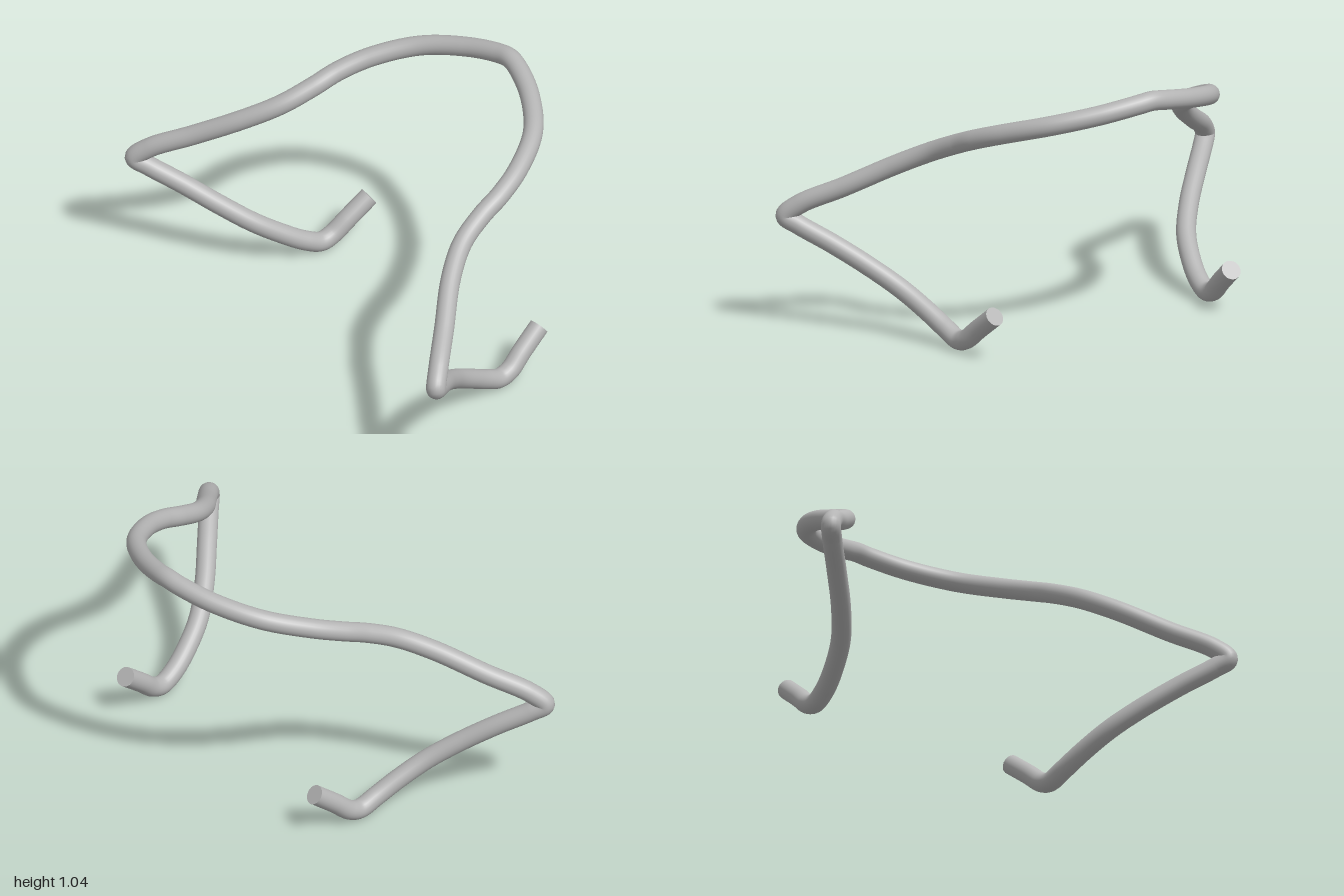
import * as THREE from 'three';

const RADIUS = 0.038;
const STEPS = 8; // rings between neighbouring path points

// Centre line of the left half, from the hook end to the top of the arch
const HALF = [
  // hook and lower arm
  [0.54, 0.176, -0.266], [0.553, 0.105, -0.175], [0.564, 0.052, -0.11],
  [0.567, 0.038, -0.06], [0.576, 0.066, 0.01], [0.603, 0.12, 0.1],
  [0.65, 0.187, 0.2], [0.73, 0.265, 0.3], [0.83, 0.347, 0.4], [0.922, 0.414, 0.49],
  // pointed corner
  [0.958, 0.447, 0.527],
  // upper arm and arch
  [0.918, 0.497, 0.487], [0.8, 0.572, 0.372], [0.66, 0.667, 0.237],
  [0.575, 0.735, 0.12], [0.535, 0.79, 0.0], [0.515, 0.83, -0.1],
  [0.468, 0.873, -0.22], [0.36, 0.923, -0.37], [0.2, 0.964, -0.473],
  [0.06, 0.993, -0.52], [0, 1.001, -0.527],
];

export function createModel() {
  const group = new THREE.Group();
  group.name = 'bentWireFrame';
  const metal = new THREE.MeshStandardMaterial({ color: 0xb4b4b4 });
  metal.name = 'grey metal';

  // Mirror the half path into one continuous bent rod
  const left = HALF.map((p) => new THREE.Vector3(...p));
  const right = left.slice(0, -1).reverse().map((p) => new THREE.Vector3(-p.x, p.y, p.z));
  const points = [...left, ...right];
  const path = new THREE.CatmullRomCurve3(points);
  // Even steps per point, so that a ring falls exactly on each corner
  path.getPointAt = (t, target) => path.getPoint(t, target);
  path.getTangentAt = (t, target) => path.getTangent(t, target);

  const rod = new THREE.Mesh(
    new THREE.TubeGeometry(path, (points.length - 1) * STEPS, RADIUS, 24), metal);
  rod.name = 'bentRod';
  group.add(rod);

  // Flat caps on the two hook ends
  for (const [t, name] of [[0, 'leftHookCap'], [1, 'rightHookCap']]) {
    const cap = new THREE.Mesh(new THREE.CircleGeometry(RADIUS, 24), metal);
    const outward = path.getTangent(t).multiplyScalar(t === 0 ? -1 : 1);
    cap.position.copy(path.getPoint(t));
    cap.quaternion.setFromUnitVectors(new THREE.Vector3(0, 0, 1), outward);
    cap.name = name;
    group.add(cap);
  }
  return group;
}
